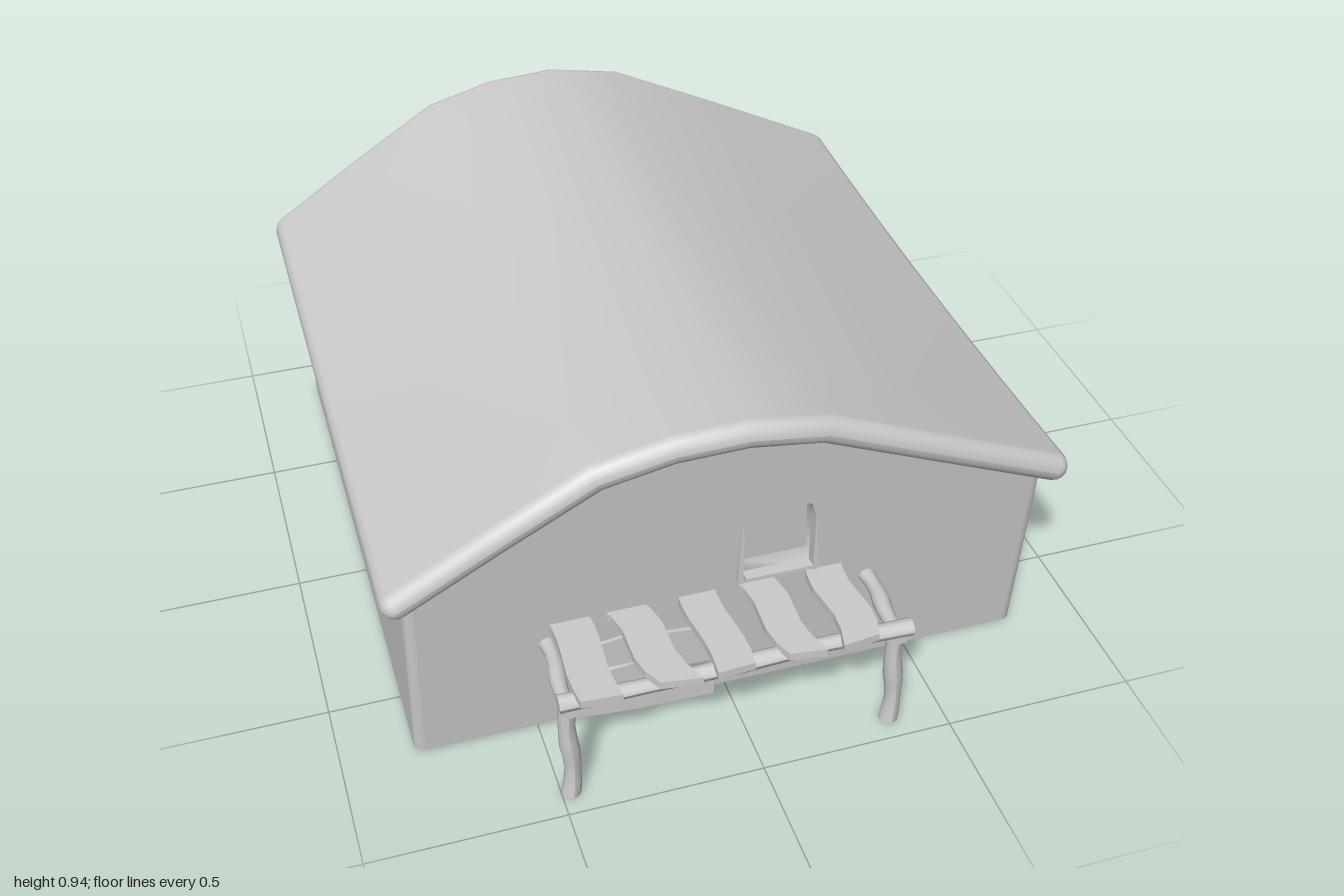
import * as THREE from 'three';

const mat = new THREE.MeshStandardMaterial({ color: 0xcccccc });
const thinMat = new THREE.MeshStandardMaterial({ color: 0xcccccc, side: THREE.DoubleSide });
const flatMat = new THREE.MeshStandardMaterial({ color: 0xcccccc, flatShading: true });

// Roof centre line, left to right across the gable
const ridge = [[-0.83, 0.573], [-0.6, 0.717], [-0.36, 0.86], [-0.18, 0.903], [0, 0.911], [0.19, 0.878], [0.5, 0.735], [0.83, 0.58]];
const frontZ = y => 0.7 + 0.075 * y;

function roofY(x) {
  let i = 0;
  while (i < ridge.length - 2 && x > ridge[i + 1][0]) i++;
  const [a, b] = [ridge[i], ridge[i + 1]];
  return a[1] + (b[1] - a[1]) * (x - a[0]) / (b[0] - a[0]);
}

function mesh(name, geometry, material = mat) {
  const m = new THREE.Mesh(geometry, material);
  m.name = name;
  return m;
}

// Skin between rows of [x, y, z] points
function loft(rows, closed) {
  const n = rows[0].length, index = [];
  for (let j = 0; j < rows.length - 1; j++) {
    for (let i = 0; i < (closed ? n : n - 1); i++) {
      const k = (i + 1) % n, a = j * n + i, b = j * n + k;
      index.push(a, a + n, b, b, a + n, b + n);
    }
  }
  const g = new THREE.BufferGeometry();
  g.setAttribute('position', new THREE.Float32BufferAttribute(rows.flat(2), 3));
  g.setIndex(index);
  g.computeVertexNormals();
  return g;
}

// Sagging slab with rounded rims; its gable ends lean out toward the ridge
function roof() {
  const r = 0.038, steps = 5;
  const normals = ridge.map((p, i) => {
    const a = ridge[Math.max(i - 1, 0)], b = ridge[Math.min(i + 1, ridge.length - 1)];
    return Math.atan2(b[1] - a[1], b[0] - a[0]) + Math.PI / 2;
  });
  const last = ridge.length - 1;
  function ring(v, s, inset) {
    const pts = [];
    const add = (i, angle) => {
      const x = ridge[i][0] + Math.cos(angle) * r * s;
      const a = Math.pow(Math.abs(ridge[i][0]) / 0.83, 1.4);
      const back = -1 + 0.045 * a + inset, front = 0.83 - 0.04 * a - inset;
      const sag = 0.02 * (1 - (2 * v - 1) ** 2);
      pts.push([x, ridge[i][1] + Math.sin(angle) * r * s - sag, back + (front - back) * v]);
    };
    for (let i = 0; i < last; i++) add(i, normals[i]);
    for (let k = 0; k <= 6; k++) add(last, normals[last] - Math.PI * k / 6);
    for (let i = last - 1; i > 0; i--) add(i, normals[i] + Math.PI);
    for (let k = 0; k < 6; k++) add(0, normals[0] + Math.PI - Math.PI * k / 6);
    return pts;
  }
  const rows = [];
  const rim = (v, k) => {
    const p = Math.PI / 2 * k / steps;
    rows.push(ring(v, Math.sin(p), r * (1 - Math.cos(p))));
  };
  for (let k = 0; k <= steps; k++) rim(0, k);
  for (let k = 1; k < 10; k++) rows.push(ring(k / 10, 1, r));
  for (let k = steps; k >= 0; k--) rim(1, k);
  return mesh('roof', loft(rows, true));
}

// Side and back walls with softened corners
function walls() {
  const w = 0.815, c = 0.025, plan = [];
  const corner = (x, z, start) => {
    for (let k = 0; k <= 4; k++) {
      const t = start + Math.PI / 2 * k / 4;
      plan.push([x + Math.cos(t) * c, z + Math.sin(t) * c]);
    }
  };
  corner(-w + c, 0.7 - c, Math.PI / 2);
  corner(-w + c, -0.9 + c, Math.PI);
  ridge.slice(1, -1).forEach(p => plan.push([p[0], -0.9]));
  corner(w - c, -0.9 + c, Math.PI * 1.5);
  corner(w - c, 0.7 - c, 0);
  const row = top => plan.map(([x, z]) => {
    const y = top ? roofY(x) : 0.01;
    return [x, y, z + 0.075 * y * (z + 0.9) / 1.6];
  });
  return mesh('sideAndBackWalls', loft([row(false), row(true)], false), thinMat);
}

const doorArch = [[-0.43, 0.01], [-0.43, 0.16], [-0.4, 0.22], [-0.34, 0.25], [-0.24, 0.262], [-0.14, 0.25], [-0.08, 0.22], [-0.05, 0.16], [-0.05, 0.01]];
const windowOutline = [[0.02, 0.4], [0.02, 0.56], [0.04, 0.61], [0.115, 0.625], [0.19, 0.61], [0.205, 0.56], [0.215, 0.4]];
const toShape = pts => new THREE.Shape(pts.map(p => new THREE.Vector2(...p)));

// Flat shape laid on the leaning front plane
function onFront(shape, offset) {
  const g = new THREE.ShapeGeometry(shape), p = g.attributes.position;
  for (let i = 0; i < p.count; i++) p.setZ(i, frontZ(p.getY(i)) + offset);
  g.computeVertexNormals();
  return g;
}

function frontWall() {
  const gable = [[0.79, roofY(0.79)], ...ridge.slice(1, -1).reverse(), [-0.79, roofY(-0.79)]];
  const shape = toShape([[-0.79, 0.01], ...doorArch, [0.79, 0.01], ...gable]);
  shape.holes.push(new THREE.Path(windowOutline.map(p => new THREE.Vector2(...p))));
  return mesh('frontWall', onFront(shape, 0), thinMat);
}

// Recess running back from the front wall
function niche(name, pts, depth, closed) {
  const g = new THREE.Group();
  g.name = name;
  const row = d => pts.map(([x, y]) => [x, y, frontZ(y) - d]);
  g.add(mesh('recessSides', loft([row(depth), row(0)], closed), thinMat));
  g.add(mesh('recessBack', onFront(toShape(pts), -depth), thinMat));
  return g;
}

// Slightly crooked round pole from a to b
function pole(name, a, b, r, bend = 0.008) {
  const from = new THREE.Vector3(...a), to = new THREE.Vector3(...b);
  const len = from.distanceTo(to);
  const g = new THREE.CylinderGeometry(r, r, len, 10, 8);
  const p = g.attributes.position;
  for (let i = 0; i < p.count; i++) {
    const t = p.getY(i) / len + 0.5;
    const k = 1 + 0.1 * Math.cos(t * Math.PI * 4);
    p.setX(i, p.getX(i) * k + bend * Math.sin(t * Math.PI * 2));
    p.setZ(i, p.getZ(i) * k);
  }
  g.computeVertexNormals();
  const m = mesh(name, g);
  m.position.copy(from).lerp(to, 0.5);
  m.quaternion.setFromUnitVectors(new THREE.Vector3(0, 1, 0), to.sub(from).normalize());
  return m;
}

// Worn slat: a box whose length sways sideways from x0 at the wall to x1 at the tip
function slat(x0, x1, width, sway) {
  const g = new THREE.BoxGeometry(width, 0.022, 0.3, 1, 1, 6);
  const p = g.attributes.position;
  for (let i = 0; i < p.count; i++) {
    const t = p.getZ(i) / 0.3 + 0.5, side = Math.sign(p.getX(i));
    if (t > 0.99) p.setZ(i, p.getZ(i) + side * sway * 0.5);
    p.setX(i, p.getX(i) + x0 + (x1 - x0) * t + sway * Math.sin(t * Math.PI * 2));
  }
  g.translate(0, 0.365, 0.845);
  return mesh('awningSlat', g, flatMat);
}

function awning() {
  const g = new THREE.Group();
  g.name = 'slattedAwning';
  g.add(pole('frontBeam', [-0.505, 0.34, 0.95], [0.385, 0.335, 0.95], 0.021, 0.004));
  for (const x of [-0.475, 0.36]) {
    g.add(pole('leg', [x, 0.005, 0.93], [x, 0.325, 0.93], 0.023, 0.006));
    g.add(pole('sideBeam', [x, 0.31, 0.7], [x, 0.315, 0.96], 0.021, 0.006));
  }
  [[-0.42, -0.41, 0.1, 0.006], [-0.29, -0.215, 0.1, 0.014], [-0.09, -0.08, 0.095, -0.006],
    [0.05, 0.1, 0.09, 0.012], [0.25, 0.235, 0.095, -0.012]].forEach(s => g.add(slat(...s)));
  return g;
}

// Broken planks nailed over the doorway
function doorPlanks() {
  const g = new THREE.Group();
  g.name = 'doorPlanks';
  const planks = [
    [[-0.44, 0.195], [-0.23, 0.187], [-0.04, 0.2], [-0.035, 0.25], [-0.18, 0.265], [-0.26, 0.285], [-0.36, 0.27], [-0.44, 0.25]],
    [[-0.44, 0.1], [-0.3, 0.115], [-0.15, 0.14], [-0.04, 0.135], [-0.04, 0.2], [-0.23, 0.185], [-0.44, 0.165]],
    [[-0.44, 0.035], [-0.25, 0.018], [-0.04, 0.012], [-0.04, 0.09], [-0.2, 0.07], [-0.3, 0.085], [-0.44, 0.08]],
    [[-0.34, 0.05], [-0.29, 0.05], [-0.25, 0.15], [-0.3, 0.15]],
    [[-0.21, 0.05], [-0.17, 0.05], [-0.19, 0.15], [-0.22, 0.15]]
  ];
  planks.forEach((pts, i) => {
    const geo = new THREE.ExtrudeGeometry(toShape(pts), { depth: 0.014, bevelEnabled: false });
    geo.translate(0, 0, i < 3 ? 0.716 : 0.702);
    g.add(mesh('plank', geo, flatMat));
  });
  return g;
}

// Thin splintered window trim
function windowTrim() {
  const g = new THREE.Group();
  g.name = 'windowTrim';
  [[[0.008, 0.4], [0.022, 0.4], [0.02, 0.57], [0.013, 0.57]],
    [[0.205, 0.39], [0.222, 0.39], [0.212, 0.49], [0.205, 0.58]],
    [[0.03, 0.394], [0.215, 0.394], [0.215, 0.403], [0.03, 0.405]]].forEach(pts => {
    const geo = new THREE.ExtrudeGeometry(toShape(pts), { depth: 0.03, bevelEnabled: false });
    geo.translate(0, 0, 0.715);
    g.add(mesh('trimStrip', geo, flatMat));
  });
  return g;
}

export function createModel() {
  const house = new THREE.Group();
  house.name = 'house';
  house.add(roof(), walls(), frontWall());
  house.add(niche('doorway', doorArch, 0.14, false), niche('window', windowOutline, 0.06, true));
  house.add(awning(), doorPlanks(), windowTrim());
  return house;
}
